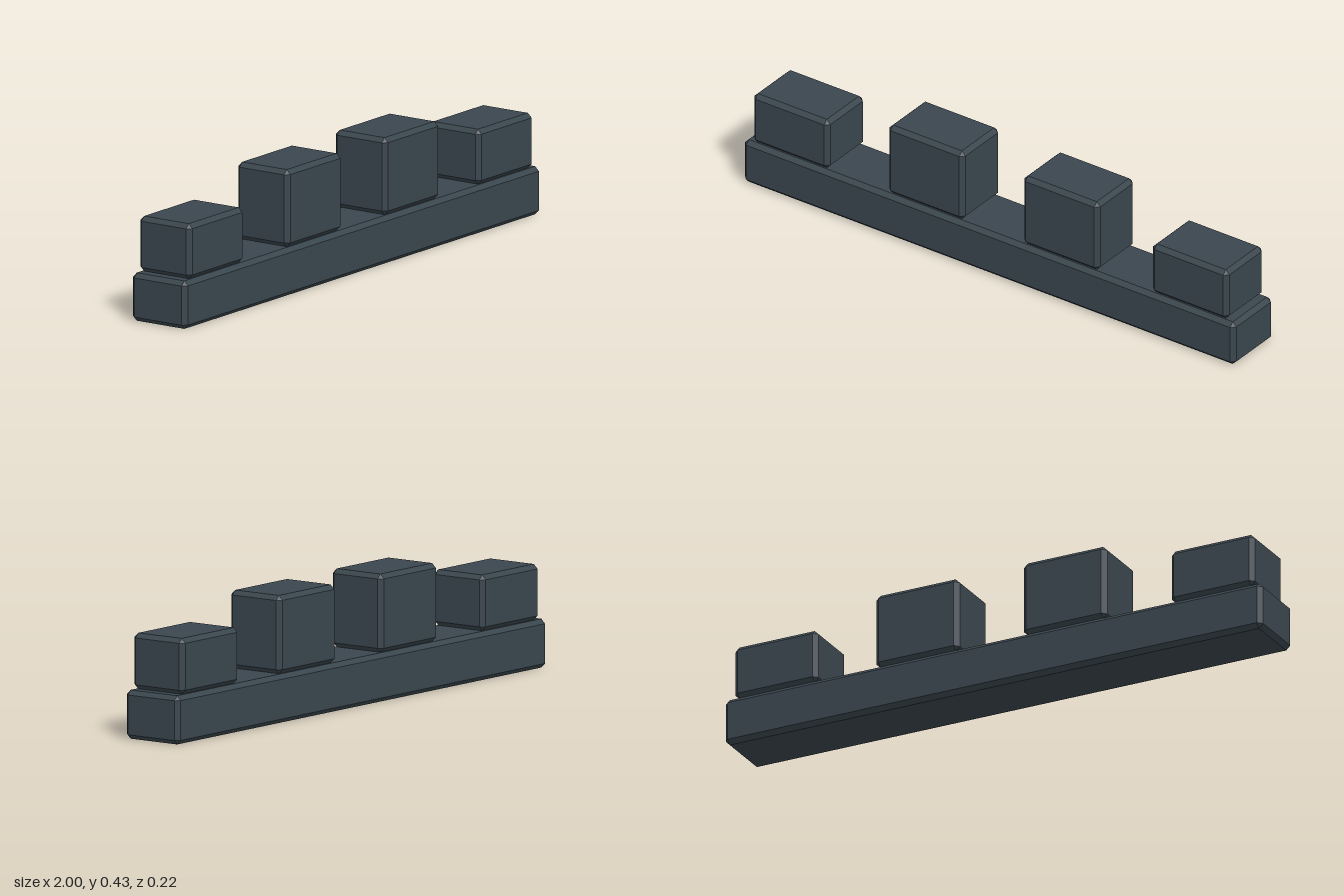
import * as THREE from 'three';
import { ConvexGeometry } from 'three/addons/geometries/ConvexGeometry.js';

// Box with every edge chamfered by c
function chamferBox(w, h, d, c) {
  const points = [];
  for (const sx of [-1, 1]) for (const sy of [-1, 1]) for (const sz of [-1, 1]) {
    const x = w / 2, y = h / 2, z = d / 2;
    points.push(
      new THREE.Vector3(sx * x, sy * (y - c), sz * (z - c)),
      new THREE.Vector3(sx * (x - c), sy * y, sz * (z - c)),
      new THREE.Vector3(sx * (x - c), sy * (y - c), sz * z)
    );
  }
  return new ConvexGeometry(points);
}

export function createModel() {
  const group = new THREE.Group();
  const slate = new THREE.MeshStandardMaterial({ color: 0x3a464e });
  slate.name = 'dark slate';

  const addBlock = (name, x, bottom, top, w, d) => {
    const mesh = new THREE.Mesh(chamferBox(w, top - bottom, d, 0.015), slate);
    mesh.name = name;
    mesh.position.set(x, (bottom + top) / 2, 0);
    group.add(mesh);
  };

  // Long wall base
  addBlock('wallBase', 0, 0, 0.163, 2, 0.224);

  // Battlements: two low outer blocks, two tall inner blocks
  const merlons = [
    ['outerRightMerlon', -0.812, 0.35],
    ['innerRightMerlon', -0.262, 0.425],
    ['innerLeftMerlon', 0.287, 0.425],
    ['outerLeftMerlon', 0.812, 0.35],
  ];
  for (const [name, x, top] of merlons) addBlock(name, x, 0.163, top, 0.31, 0.212);

  return group;
}
